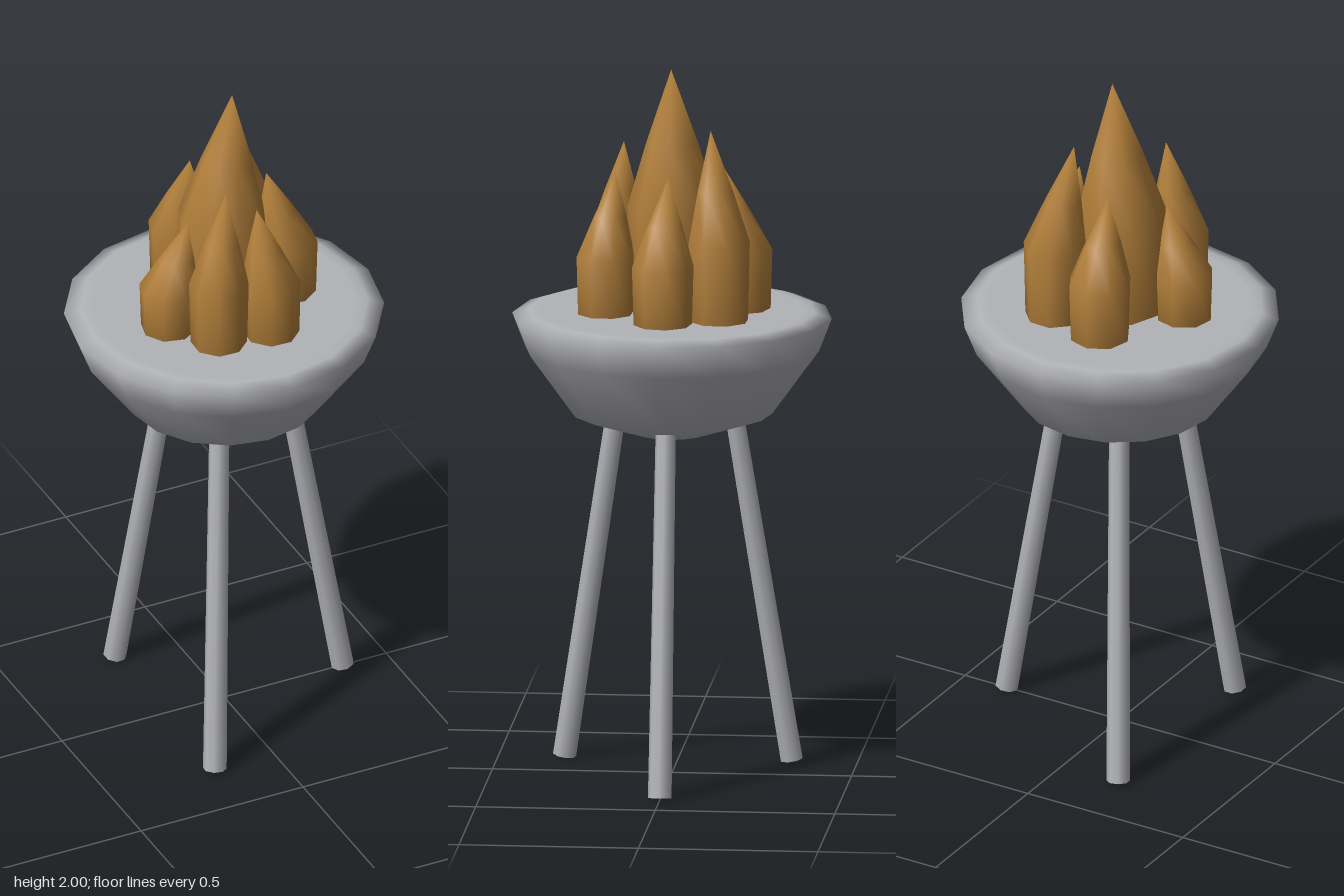
import * as THREE from 'three';
import { mergeVertices } from 'three/addons/utils/BufferGeometryUtils.js';

const V = (x, y) => new THREE.Vector2(x, y);

// Weld a lathe's seam so it shades smoothly all round
function weld(geometry) {
  geometry.deleteAttribute('uv');
  geometry.deleteAttribute('normal');
  const welded = mergeVertices(geometry, 1e-4);
  welded.computeVertexNormals();
  return welded;
}

// Leaning flame tongue: straight up to its shoulder, then drawn to an offset tip
function flameGeometry({ centre, radius, tip, turn }) {
  const base = 1.29, height = tip[1] - base, shoulder = 0.44;
  const geometry = new THREE.LatheGeometry([
    V(0, 0), V(0.94 * radius, 0), V(radius, shoulder * height),
    V(0.57 * radius, 0.7 * height), V(0, height),
  ], 8, turn);
  const p = geometry.attributes.position;
  for (let i = 0; i < p.count; i++) {
    const t = Math.max(0, (p.getY(i) / height - shoulder) / (1 - shoulder));
    p.setXYZ(i,
      p.getX(i) + centre[0] + t * (tip[0] - centre[0]),
      p.getY(i) + base,
      p.getZ(i) + centre[1] + t * (tip[2] - centre[1]));
  }
  return weld(geometry);
}

export function createModel() {
  const model = new THREE.Group();
  model.name = 'brazier';
  const metal = new THREE.MeshStandardMaterial({ color: 0xb2b3b7 });
  metal.name = 'grey metal';
  const fire = new THREE.MeshStandardMaterial({ color: 0xb27f3a });
  fire.name = 'amber flame';

  const add = (name, geometry, material, parent = model) => {
    const mesh = new THREE.Mesh(geometry, material);
    mesh.name = name;
    parent.add(mesh);
    return mesh;
  };

  // Sixteen-sided bowl with a bevelled rim
  add('bowl', weld(new THREE.LatheGeometry([
    V(0, 0.96), V(0.1, 0.965), V(0.28, 1.025), V(0.41, 1.205),
    V(0.445, 1.297), V(0.4, 1.312), V(0.37, 1.312),
  ], 16)), metal);

  // Flat filling inside the rim
  const filling = add('bowlFilling', new THREE.CircleGeometry(0.37, 16), metal);
  filling.rotation.x = -Math.PI / 2;
  filling.position.y = 1.312;

  // Three splayed legs
  const foot = new THREE.Vector3(0.365, 0.006, 0);
  const top = new THREE.Vector3(0.184, 1.035, 0);
  const axis = top.clone().sub(foot);
  const legGeometry = new THREE.CylinderGeometry(0.028, 0.033, axis.length(), 8);
  for (let i = 0; i < 3; i++) {
    const pivot = new THREE.Group();
    pivot.name = 'leg' + (i + 1);
    pivot.rotation.y = i * Math.PI * 2 / 3;
    const leg = add('legPole', legGeometry, metal, pivot);
    leg.position.copy(foot).add(top).multiplyScalar(0.5);
    leg.quaternion.setFromUnitVectors(new THREE.Vector3(0, 1, 0), axis.clone().normalize());
    model.add(pivot);
  }

  // Tall middle flame ringed by six smaller ones
  const flames = new THREE.Group();
  flames.name = 'flames';
  model.add(flames);
  [
    { centre: [-0.005, -0.003], radius: 0.128, tip: [0.025, 2.0, 0], turn: 0 },
    { centre: [-0.045, -0.185], radius: 0.09, tip: [-0.04, 1.72, -0.135], turn: 0.1 },
    { centre: [0.125, -0.143], radius: 0.088, tip: [0.08, 1.84, -0.115], turn: 0.35 },
    { centre: [0.19, 0.008], radius: 0.086, tip: [0.13, 1.71, 0], turn: 0.2 },
    { centre: [0.057, 0.18], radius: 0.083, tip: [0.025, 1.71, 0.155], turn: 0.35 },
    { centre: [-0.095, 0.162], radius: 0.083, tip: [-0.065, 1.775, 0.14], turn: 0.35 },
    { centre: [-0.187, 0.035], radius: 0.083, tip: [-0.13, 1.64, 0.035], turn: 0.15 },
  ].forEach((f, i) => add(i ? 'outerFlame' + i : 'middleFlame', flameGeometry(f), fire, flames));

  return model;
}
